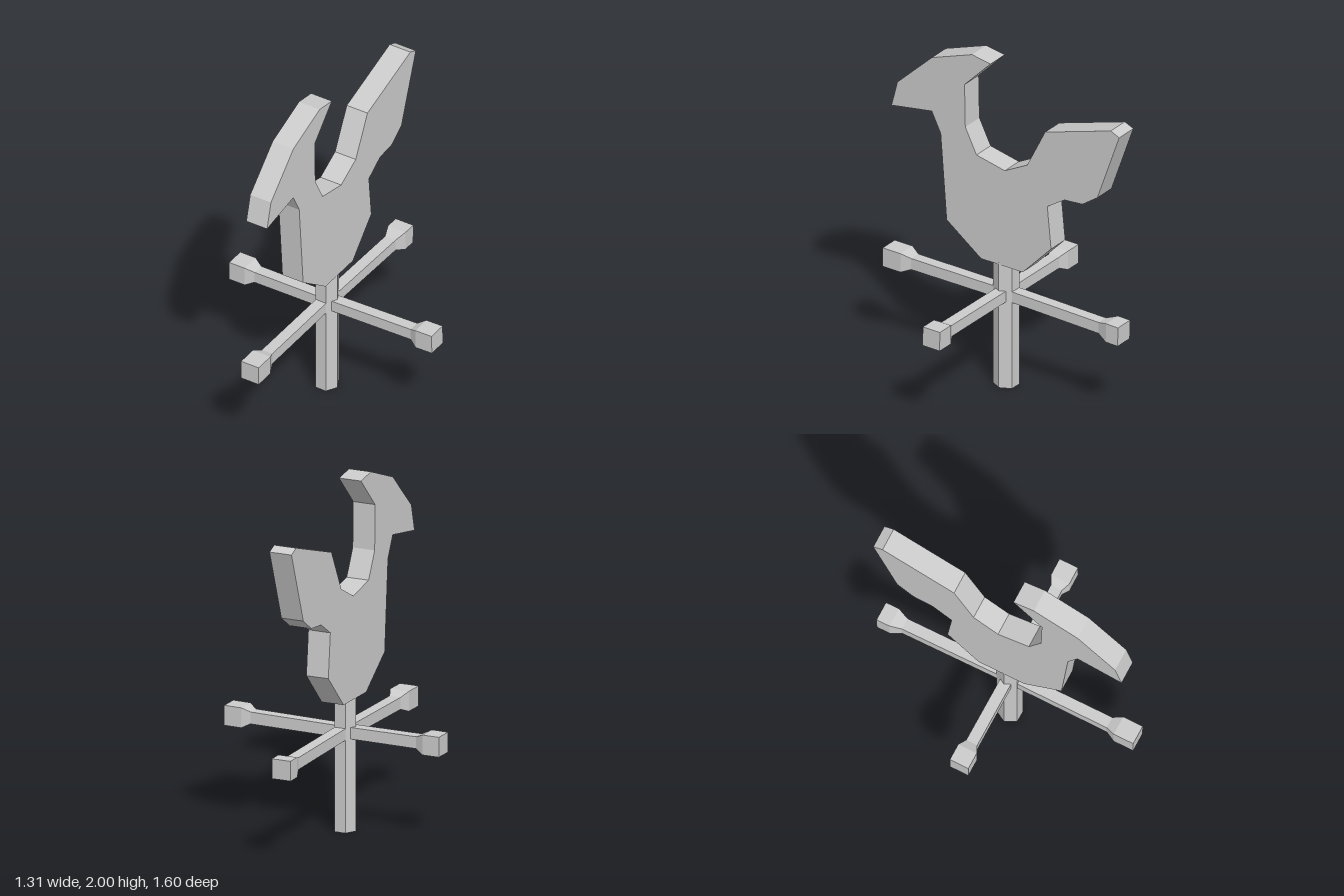
import * as THREE from 'three';

const material = new THREE.MeshStandardMaterial({ color: 0xcccccc, flatShading: true });
const POLE_X = -0.055, POLE_Z = 0.008;

function addMesh(group, name, geometry) {
  const mesh = new THREE.Mesh(geometry, material);
  mesh.name = name;
  group.add(mesh);
  return mesh;
}

// Square-section beam along +z; profile rows are [distance, half width]
function beamGeometry(profile) {
  const positions = [], index = [];
  for (const [d, h] of profile) positions.push(-h, -h, d, h, -h, d, h, h, d, -h, h, d);
  for (let i = 0; i < profile.length - 1; i++) {
    for (let k = 0; k < 4; k++) {
      const a = i * 4 + k, b = i * 4 + (k + 1) % 4;
      index.push(a, b, b + 4, a, b + 4, a + 4);
    }
  }
  const e = (profile.length - 1) * 4;
  index.push(0, 2, 1, 0, 3, 2, e, e + 1, e + 2, e, e + 2, e + 3);
  const geometry = new THREE.BufferGeometry();
  geometry.setAttribute('position', new THREE.Float32BufferAttribute(positions, 3));
  geometry.setIndex(index);
  const flat = geometry.toNonIndexed();
  flat.computeVertexNormals();
  return flat;
}

export function createModel() {
  const model = new THREE.Group();
  model.name = 'weatherVane';

  // Flat rooster silhouette, as [z, y]
  const outline = [
    [0.13, 0.76], [0.36, 0.93], [0.40, 1.45], [0.46, 1.57], [0.73, 1.525], [0.69, 1.68],
    [0.46, 1.90], [0.19, 2.0], [0.065, 1.98], [0.24, 1.80], [0.235, 1.54], [0.16, 1.39],
    [-0.03, 1.35], [-0.18, 1.43], [-0.30, 1.67], [-0.74, 1.81], [-0.797, 1.785], [-0.65, 1.37],
    [-0.55, 1.30], [-0.43, 1.29], [-0.315, 1.215], [-0.34, 0.96], [-0.15, 0.76],
  ].map(([z, y]) => new THREE.Vector2(z, y));
  const depth = 0.134;
  const birdGeometry = new THREE.ExtrudeGeometry(new THREE.Shape(outline), { depth, bevelEnabled: false });
  birdGeometry.translate(0, 0, -depth / 2);
  const bird = addMesh(model, 'rooster', birdGeometry);
  bird.rotation.y = -Math.PI / 2 + 0.026;
  bird.position.x = -0.056;

  // Six-sided pole
  const pole = addMesh(model, 'pole', new THREE.CylinderGeometry(0.0675, 0.0675, 0.77, 6, 1, false, Math.PI / 6));
  pole.scale.z = 1.1;
  pole.position.set(POLE_X, 0.385, POLE_Z);

  // Four direction arms with square ends: name, centre of the outer end, cap and taper lengths
  const arms = [
    ['rightArm', [-0.655, 0.562, 0.02], 0.10, 0.05],
    ['leftArm', [0.655, 0.575, -0.012], 0.105, 0.045],
    ['frontArm', [-0.037, 0.562, 0.797], 0.12, 0.055],
    ['backArm', [-0.074, 0.547, -0.782], 0.08, 0.065],
  ];
  const root = new THREE.Vector3(POLE_X, 0.564, POLE_Z);
  for (const [name, end, cap, taper] of arms) {
    const tip = new THREE.Vector3(...end);
    const length = root.distanceTo(tip);
    const arm = addMesh(model, name, beamGeometry([
      [0.01, 0.033], [length - cap - taper, 0.034], [length - cap, 0.057], [length, 0.057],
    ]));
    arm.position.copy(root);
    arm.lookAt(tip);
  }
  return model;
}
